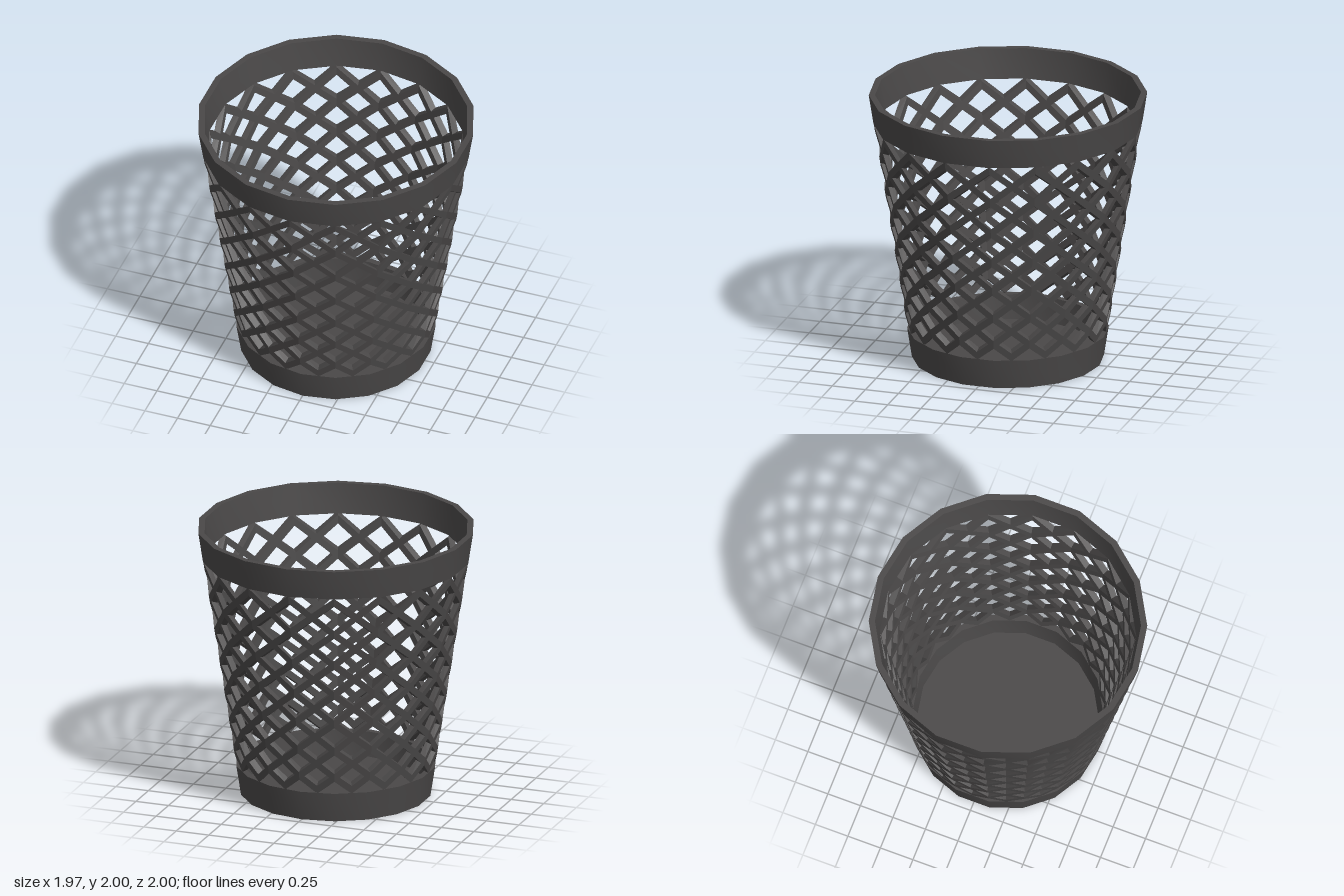
import * as THREE from 'three';
import { toCreasedNormals } from 'three/addons/utils/BufferGeometryUtils.js';

const SIDES = 18, STEPS = 13, WALL = 0.045;
const STEP_ANGLE = Math.PI / SIDES;             // half a side
const LOW = 0.245, HIGH = 1.755;                // lowest and highest lattice nodes
const GROWTH = 1.0215;                          // diamonds grow with the radius
const radius = y => 0.69 + 0.155 * y;           // outer wall of the tapered body

// Height of the lattice node after i half-diamonds
const nodeHeight = i =>
  LOW + (HIGH - LOW) * (GROWTH ** i - 1) / (GROWTH ** STEPS - 1);

// One strut winding up the faceted wall; dir is +1 or -1
function strandGeometry(dir) {
  const halfHeight = 0.031, sections = [];
  for (let i = 0; i <= STEPS; i++) {
    const angle = dir * (i + 1) * STEP_ANGLE;
    const flat = i % 2 === 0 ? Math.cos(STEP_ANGLE) : 1; // mid-side or corner
    const corner = (dy, inner) => {
      let y = nodeHeight(i) + dy;
      const r = (radius(y) - 0.002 - (inner ? WALL : 0)) * flat;
      if (inner) y = 1 + (y - 1) * 0.975;
      return [r * Math.sin(angle), y, r * Math.cos(angle)];
    };
    sections.push([corner(halfHeight, false), corner(-halfHeight, false),
      corner(-halfHeight, true), corner(halfHeight, true)]);
  }
  const positions = [];
  for (let i = 0; i < STEPS; i++) {
    for (let k = 0; k < 4; k++) {
      const n = (k + 1) % 4;
      const a = sections[i][k], b = sections[i][n];
      const c = sections[i + 1][n], d = sections[i + 1][k];
      const tris = dir > 0 ? [a, b, d, b, c, d] : [a, d, b, b, d, c];
      positions.push(...tris.flat());
    }
  }
  const geometry = new THREE.BufferGeometry();
  geometry.setAttribute('position', new THREE.Float32BufferAttribute(positions, 3));
  geometry.computeVertexNormals();
  return geometry;
}

// Faceted ring or cup from a profile of [radius, height]
function turned(name, profile, material) {
  const points = profile.map(([r, y]) => new THREE.Vector2(r, y));
  const geometry = new THREE.LatheGeometry(points, SIDES);
  const mesh = new THREE.Mesh(toCreasedNormals(geometry, 0.6), material);
  mesh.name = name;
  return mesh;
}

export function createModel() {
  const group = new THREE.Group();
  group.name = 'wasteBasket';
  const smooth = new THREE.MeshStandardMaterial({ color: 0x4a4848 });
  const faceted = new THREE.MeshStandardMaterial({ color: 0x4a4848, flatShading: true });

  // Solid base cup with floor
  const baseTop = 0.22, floor = 0.04;
  group.add(turned('base', [
    [0, 0], [radius(0), 0], [radius(baseTop), baseTop],
    [radius(baseTop) - WALL, baseTop], [radius(floor) - WALL, floor], [0, floor],
  ], smooth));

  // Top rim band
  const rimLow = 1.78, rimTop = 2;
  group.add(turned('rim', [
    [radius(rimLow) - WALL, rimLow], [radius(rimLow), rimLow], [radius(rimTop), rimTop],
    [radius(rimTop) - WALL, rimTop], [radius(rimLow) - WALL, rimLow],
  ], smooth));

  // Diamond lattice: two families of crossing strands
  const lattice = new THREE.Group();
  lattice.name = 'lattice';
  for (const dir of [1, -1]) {
    const geometry = strandGeometry(dir);
    for (let s = 0; s < SIDES; s++) {
      const strand = new THREE.Mesh(geometry, faceted);
      strand.name = dir > 0 ? 'leftwardStrand' : 'rightwardStrand';
      strand.rotation.y = s * 2 * STEP_ANGLE;
      lattice.add(strand);
    }
  }
  group.add(lattice);
  return group;
}
